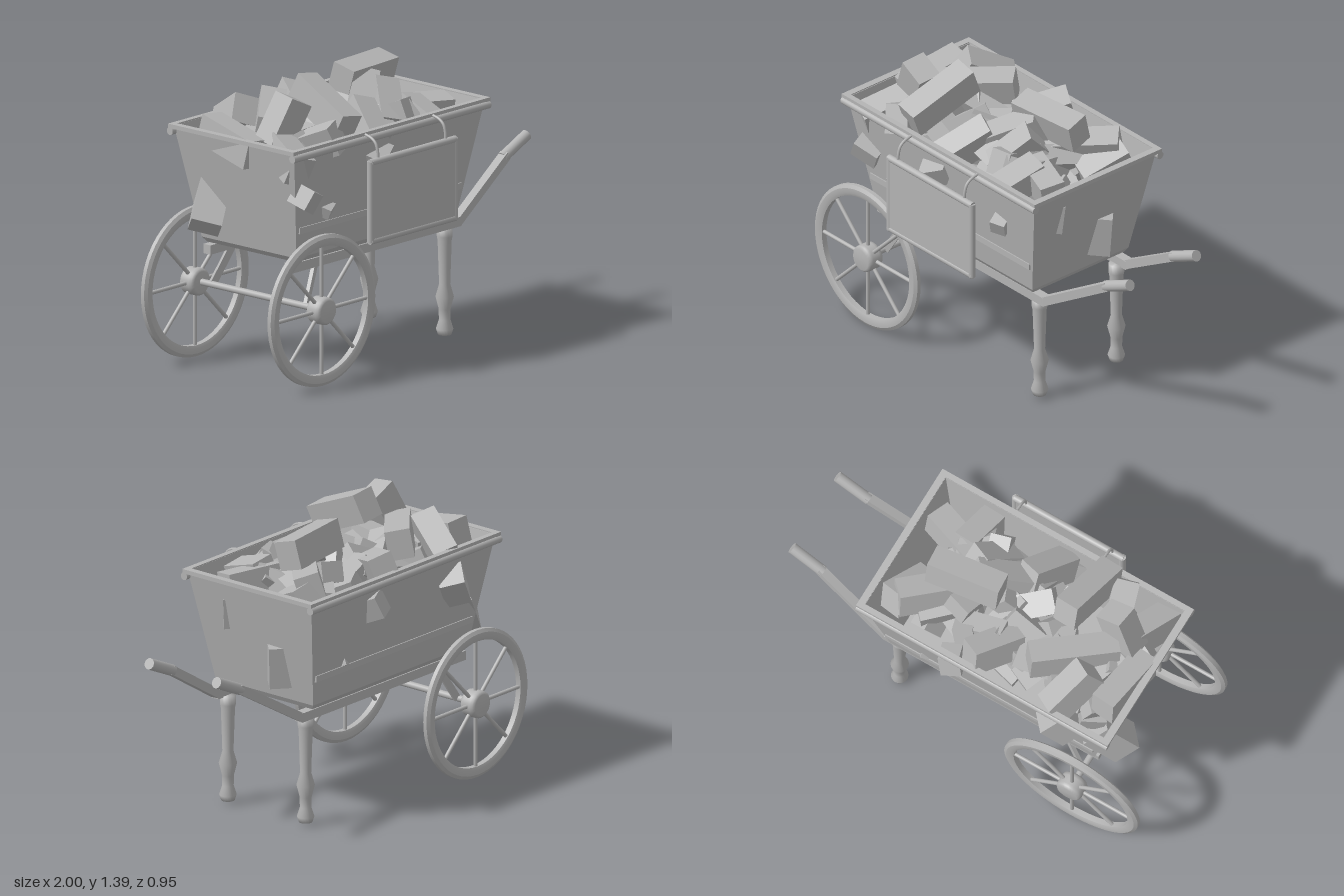
import * as THREE from 'three';
import { toCreasedNormals } from 'three/addons/utils/BufferGeometryUtils.js';

export function createModel() {
  const grey = new THREE.MeshStandardMaterial({ color: 0xb4b4b4 });
  grey.name = 'stone grey';
  const root = new THREE.Group();
  root.name = 'loadedHandcart';
  const cart = new THREE.Group();
  cart.name = 'cart';
  cart.position.z = -0.022;
  root.add(cart);

  const add = (parent, name, geo, x = 0, y = 0, z = 0) => {
    const m = new THREE.Mesh(geo, grey);
    m.name = name;
    m.position.set(x, y, z);
    parent.add(m);
    return m;
  };
  // Bar from a to b: square (w x h), or round when h is omitted
  const beam = (parent, name, a, b, w, h) => {
    const p = new THREE.Vector3(...a), q = new THREE.Vector3(...b), len = p.distanceTo(q);
    const geo = h ? new THREE.BoxGeometry(w, h, len)
      : new THREE.CylinderGeometry(w, w, len, 14).rotateX(Math.PI / 2);
    const m = add(parent, name, geo);
    const dir = q.clone().sub(p).normalize();
    const side = new THREE.Vector3(0, 1, 0).cross(dir);
    if (side.lengthSq() < 1e-6) side.set(1, 0, 0);
    side.normalize();
    m.quaternion.setFromRotationMatrix(
      new THREE.Matrix4().makeBasis(side, dir.clone().cross(side), dir));
    m.position.copy(p).add(q).multiplyScalar(0.5);
  };

  // Tub: rectangular rings up the outside, over the lip and down the inside
  const rings = [
    [-0.68, 0.39, 0.28, 0.58], [-0.70, 0.405, 0.297, 0.605], [-0.805, 0.512, 0.378, 1.15],
    [-0.79, 0.497, 0.364, 1.15], [-0.685, 0.392, 0.284, 0.61],
  ].map(([x0, x1, z, y]) => [[x0, y, z], [x1, y, z], [x1, y, -z], [x0, y, -z]]);
  const pos = [];
  const quad = (a, b, c, d) => pos.push(...a, ...b, ...c, ...a, ...c, ...d);
  for (let r = 0; r + 1 < rings.length; r++)
    for (let i = 0; i < 4; i++) {
      const j = (i + 1) % 4;
      quad(rings[r][i], rings[r][j], rings[r + 1][j], rings[r + 1][i]);
    }
  quad(...rings[4]);
  quad(...[...rings[0]].reverse());
  const tub = new THREE.BufferGeometry();
  tub.setAttribute('position', new THREE.Float32BufferAttribute(pos, 3));
  tub.computeVertexNormals();
  add(cart, 'tub', tub);
  for (const x of [-0.81, 0.515]) add(cart, 'endRim', new THREE.BoxGeometry(0.034, 0.02, 0.785), x, 1.145, 0);

  // Turned leg, wheel rim and hub shapes
  const lathe = (pts, n) => new THREE.LatheGeometry(pts.map(p => new THREE.Vector2(...p)), n);
  const leg = lathe([[0, 0.018], [0.032, 0.018], [0.041, 0.045], [0.027, 0.09], [0.028, 0.14],
    [0.043, 0.2], [0.026, 0.26], [0.033, 0.47], [0.037, 0.49], [0.037, 0.535], [0, 0.535]], 18);
  const hub = lathe([[0, -0.046], [0.052, -0.045], [0.064, -0.034], [0.066, -0.02], [0.066, 0.02],
    [0.064, 0.034], [0.052, 0.045], [0, 0.046]], 24).rotateX(Math.PI / 2);
  const rim = toCreasedNormals(lathe([[0.307, -0.014], [0.322, -0.02], [0.345, -0.02], [0.361, -0.01],
    [0.361, 0.01], [0.345, 0.02], [0.322, 0.02], [0.307, 0.014], [0.307, -0.014]], 56), 0.5).rotateX(Math.PI / 2);

  // Everything that appears on both long sides
  for (const s of [1, -1]) {
    beam(cart, 'sideRim', [-0.825, 1.12, s * 0.384], [0.53, 1.12, s * 0.384], 0.019);
    add(cart, 'sideRimCap', new THREE.BoxGeometry(1.35, 0.016, 0.028), -0.147, 1.147, s * 0.379);
    add(cart, 'sideBatten', new THREE.BoxGeometry(1.12, 0.03, 0.02), -0.145, 0.742, s * 0.315);
    beam(cart, 'rail', [-0.71, 0.553, s * 0.255], [0.46, 0.553, s * 0.255], 0.045, 0.045);
    beam(cart, 'shaft', [0.445, 0.55, s * 0.257], [0.84, 0.785, s * 0.208], 0.042, 0.042);
    beam(cart, 'grip', [0.82, 0.775, s * 0.207], [0.988, 0.852, s * 0.205], 0.027);
    add(cart, 'leg', leg, 0.388, 0, s * 0.237);
    beam(cart, 'axleBrace', [-0.53, 0.54, s * 0.258], [-0.63, 0.365, s * 0.293], 0.018, 0.035);
    const wheel = new THREE.Group();
    wheel.name = 'wheel';
    wheel.position.set(-0.638, 0.363, s * 0.397);
    cart.add(wheel);
    add(wheel, 'wheelRim', rim);
    add(wheel, 'hub', hub);
    for (let i = 0; i < 8; i++) {
      const a = i * Math.PI / 4;
      beam(wheel, 'spoke', [0, 0, 0], [0.315 * Math.cos(a), 0.315 * Math.sin(a), 0], 0.0095);
    }
  }
  beam(cart, 'axle', [-0.638, 0.365, -0.39], [-0.638, 0.365, 0.39], 0.016);

  // Hanging board with rounded frame and two hooks
  const board = new THREE.Group();
  board.name = 'hangingBoard';
  board.position.set(-0.1, 0.848, 0.457);
  root.add(board);
  add(board, 'panel', new THREE.BoxGeometry(0.59, 0.385, 0.026));
  for (const s of [1, -1]) {
    beam(board, 'boardEdge', [-0.295, s * 0.188, 0], [0.295, s * 0.188, 0], 0.017);
    beam(board, 'boardEdge', [s * 0.288, -0.195, 0], [s * 0.288, 0.195, 0], 0.017);
  }
  const hookPath = new THREE.CatmullRomCurve3([[1.03, 0.455], [1.08, 0.452], [1.115, 0.44],
    [1.135, 0.415], [1.147, 0.375]].map(([y, z]) => new THREE.Vector3(0, y, z)));
  for (const x of [-0.335, 0.132]) add(root, 'hook', new THREE.TubeGeometry(hookPath, 16, 0.007, 8), x, 0, 0);

  // Brick load: yaw turns the long axis, slope lifts its end
  const load = new THREE.Group();
  load.name = 'brickLoad';
  root.add(load);
  const brick = (name, x, y, z, yaw, slope, roll, l, h, w) =>
    add(load, name, new THREE.BoxGeometry(l, h, w), x, y, z).rotation.set(roll, yaw, slope, 'YZX');
  let seed = 7;
  const rnd = (a, b) => {
    seed = (seed * 16807) % 2147483647;
    return a + (b - a) * seed / 2147483647;
  };

  // Top of the heap: x, y, z, yaw, slope, length
  [
    [-0.73, 1.11, -0.1, 1.45, 0.2, 0.34],
    [-0.54, 1.16, -0.26, 1.2, -0.5, 0.26],
    [-0.46, 1.17, -0.11, 0.7, 0.1, 0.42],
    [-0.38, 1.25, 0.16, 1.42, 0.4, 0.36],
    [-0.6, 1.21, 0.1, -0.4, 1.1, 0.24],
    [-0.69, 1.07, 0.22, 1.2, 0.3, 0.24],
    [-0.51, 1.11, 0.23, -1.3, 0.4, 0.24],
    [-0.14, 1.12, 0.2, 1.1, 0.5, 0.26],
    [-0.12, 1.13, -0.26, 1.0, 0.25, 0.26],
    [0.14, 1.27, -0.07, 0.12, -0.02, 0.36],
    [0.24, 1.14, -0.15, 0.75, 0.1, 0.4],
    [0, 1.18, 0.04, 0.6, 0.5, 0.32],
    [0.37, 1.08, -0.2, 1.2, 0.4, 0.24],
    [0.32, 1.09, 0.13, -0.35, -0.05, 0.28],
    [0.23, 1.09, 0.2, 1.4, 0.3, 0.22],
    [0.1, 1.15, 0.1, 0.9, 0.7, 0.24],
  ].forEach(([x, y, z, yaw, slope, l]) =>
    brick('topBrick', x, y, z, yaw, slope, rnd(0.1, 0.4), l, 0.14, 0.12));

  // Two scattered layers beneath, the upper one domed
  for (let layer = 0; layer < 2; layer++)
    for (let i = 0; i < 28; i++) {
      const x = -0.62 + 0.14 * (i % 7), z = -0.19 + 0.107 * Math.floor(i / 7);
      const dome = layer * (0.14 - 1.2 * z * z - 0.1 * x * x);
      brick('heapBrick', x + rnd(-0.03, 0.03), 0.97 + dome + rnd(-0.03, 0.03), z,
        rnd(0, 3.1), rnd(-0.5, 0.5), rnd(0, 1.5), rnd(0.2, 0.26), 0.12, 0.1);
    }

  // Corners poking through the tub walls: x, y, z, slope, length, thickness
  [
    [-0.69, 0.9, 0.32, -0.4, 0.13, 0.1],
    [-0.52, 0.81, 0.3, 0.3, 0.07, 0.055],
    [0.24, 0.91, 0.325, -0.1, 0.075, 0.075],
    [-0.2, 1.0, 0.325, 0.4, 0.14, 0.1],
    [-0.54, 0.96, -0.37, 0.9, 0.17, 0.12],
    [0.04, 1.01, -0.37, -0.2, 0.1, 0.11],
    [0.2, 0.77, -0.32, 0.3, 0.06, 0.05],
    [-0.73, 0.78, -0.24, 0.9, 0.24, 0.145],
    [0.42, 0.77, -0.13, 1.5, 0.2, 0.11],
    [0.465, 0.97, 0.155, 1.45, 0.15, 0.035],
    [-0.46, 0.6, 0.04, 0.7, 0.06, 0.06],
  ].forEach(([x, y, z, slope, l, t]) => brick('pokingBrick', x, y, z, 0.4, slope, 0.4, l, t, t));

  return root;
}
